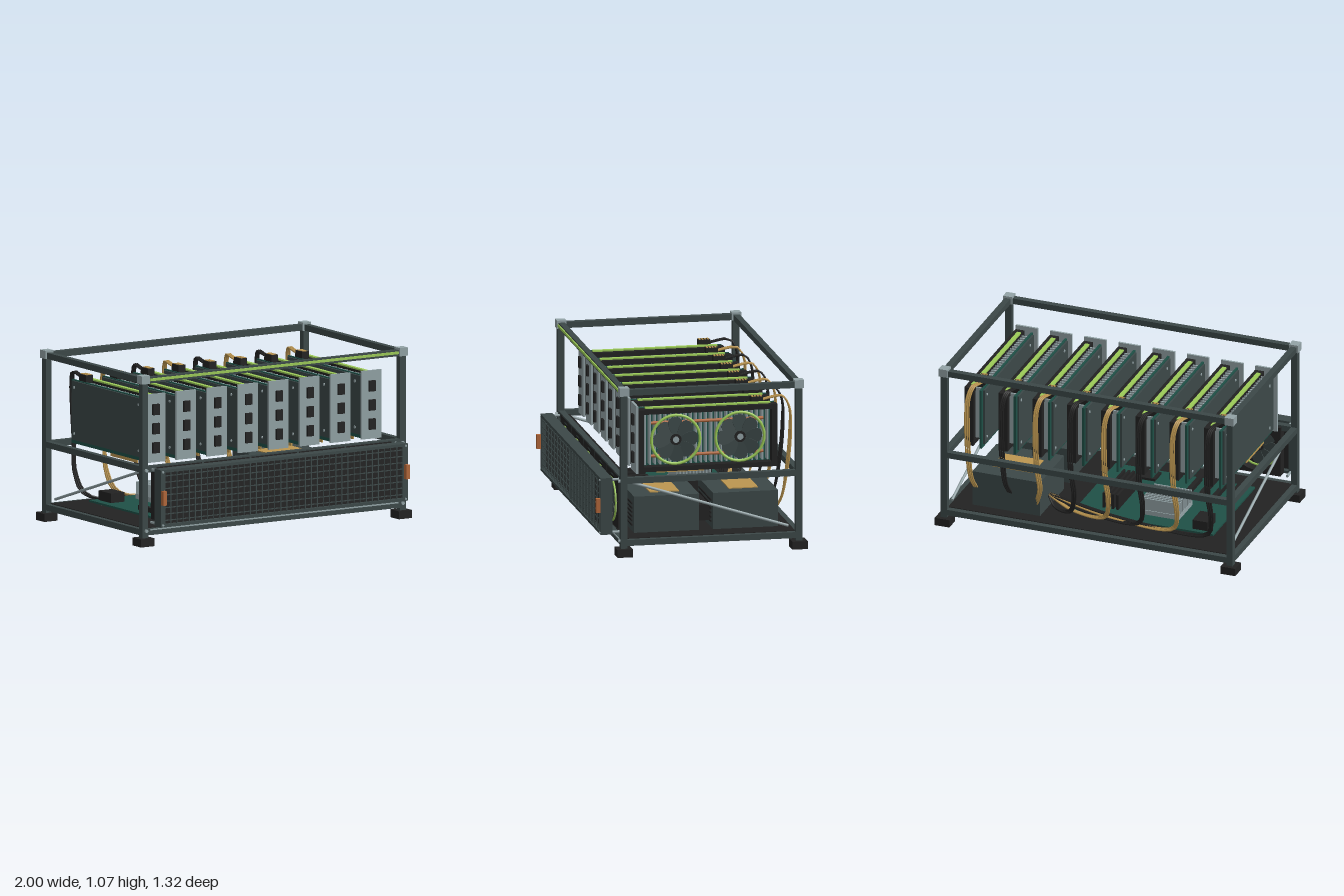
import * as THREE from 'three';

const mat = (name, color) => {
  const m = new THREE.MeshStandardMaterial({ color });
  m.name = name;
  return m;
};

export function createModel() {
  const slate = mat('slate', 0x3c4848), grey = mat('lightGrey', 0x93a3a6), black = mat('black', 0x222222);
  const teal = mat('boardTeal', 0x1f5047), green = mat('limeGreen', 0x9ccb58);
  const copper = mat('copper', 0xb4683a), gold = mat('gold', 0xbc9650);
  const root = new THREE.Group();
  root.name = 'computeRig';

  const group = (name, parent = root) => {
    const g = new THREE.Group();
    g.name = name;
    parent.add(g);
    return g;
  };
  const add = (parent, name, geo, m, x = 0, y = 0, z = 0) => {
    const mesh = new THREE.Mesh(geo, m);
    mesh.name = name;
    mesh.position.set(x, y, z);
    parent.add(mesh);
    return mesh;
  };
  const box = (parent, name, m, w, h, d, x, y, z) => add(parent, name, new THREE.BoxGeometry(w, h, d), m, x, y, z);
  // straight round bar between two points
  const rod = (parent, name, m, r, a, b) => {
    const p = new THREE.Vector3(...a), q = new THREE.Vector3(...b), d = q.clone().sub(p);
    const mesh = add(parent, name, new THREE.CylinderGeometry(r, r, d.length(), 10), m);
    mesh.position.copy(p).add(q).multiplyScalar(0.5);
    mesh.quaternion.setFromUnitVectors(new THREE.Vector3(0, 1, 0), d.normalize());
    return mesh;
  };
  const rectPath = (Type, w, h) => {
    const p = new Type();
    p.moveTo(-w / 2, -h / 2);
    p.lineTo(w / 2, -h / 2);
    p.lineTo(w / 2, h / 2);
    p.lineTo(-w / 2, h / 2);
    p.closePath();
    return p;
  };
  // rectangular frame in the XY plane, centred in depth
  const frameGeo = (w, h, hole, depth) => {
    const s = rectPath(THREE.Shape, w, h);
    s.holes.push(hole);
    return new THREE.ExtrudeGeometry(s, { depth, bevelEnabled: false, curveSegments: 20 }).translate(0, 0, -depth / 2);
  };

  // fan with eight broad blades, facing +z
  const bladeShape = new THREE.Shape();
  bladeShape.moveTo(-0.012, 0.025);
  bladeShape.bezierCurveTo(-0.05, 0.07, -0.07, 0.13, -0.02, 0.14);
  bladeShape.bezierCurveTo(0.03, 0.145, 0.05, 0.12, 0.04, 0.09);
  bladeShape.quadraticCurveTo(0.02, 0.06, 0.012, 0.025);
  const bladeGeo = new THREE.ExtrudeGeometry(bladeShape, { depth: 0.005, bevelEnabled: false, curveSegments: 6 });
  bladeGeo.rotateY(0.12);
  const ringGeo = new THREE.TorusGeometry(0.154, 0.009, 8, 36);
  const hubGeo = new THREE.CylinderGeometry(0.035, 0.035, 0.022, 20).rotateX(Math.PI / 2);
  const capGeo = new THREE.CylinderGeometry(0.02, 0.02, 0.028, 16).rotateX(Math.PI / 2);
  const fan = (parent, name) => {
    const g = group(name, parent);
    add(g, 'fanRing', ringGeo, green);
    add(g, 'fanHub', hubGeo, black);
    add(g, 'fanCap', capGeo, grey);
    for (let i = 0; i < 8; i++) add(g, 'fanBlade', bladeGeo, slate, 0, 0, -0.004).rotation.z = i * Math.PI / 4;
    return g;
  };

  // open frame: posts, rails, feet, corner blocks
  const frame = group('openFrame');
  const ZF = 0.4975, ZB = -0.61, ZM = (ZF + ZB) / 2;
  for (const x of [-0.95, 0.95]) {
    for (const z of [ZF, ZB]) {
      box(frame, 'post', slate, 0.042, 0.99, 0.042, x, 0.545, z);
      box(frame, 'foot', black, 0.098, 0.05, 0.098, x, 0.025, z);
      box(frame, 'cornerBlock', grey, 0.06, 0.052, 0.06, x, 1.046, z);
    }
    for (const y of [0.085, 0.48, 1.04]) box(frame, 'sideRail', slate, 0.038, 0.038, ZF - ZB - 0.04, x, y, ZM);
    rod(frame, 'diagonalBrace', grey, 0.009, [x * 0.974, 0.465, 0.46], [x * 0.974, 0.138, -0.55]);
    for (const y of [0.095, 0.475])
      rod(frame, 'postBolt', grey, 0.011, [x * 0.995, y, 0.515], [x * 0.995, y, 0.53]);
  }
  for (const z of [ZF, ZB])
    for (const y of [0.085, 0.48, 1.04]) box(frame, 'crossRail', slate, 1.86, 0.038, 0.038, 0, y, z);
  box(frame, 'lightStrip', green, 1.83, 0.016, 0.008, 0, 1.043, 0.521);
  box(frame, 'floorTray', black, 1.87, 0.012, 1.07, 0, 0.102, ZM);
  box(frame, 'trayLip', grey, 1.83, 0.008, 0.006, 0, 0.1, 0.518);

  // front grille panel with mesh and handles
  const panel = group('frontPanel');
  const PY = 0.31, PW = 1.82, PH = 0.36;
  add(panel, 'panelFrame', frameGeo(PW, PH, rectPath(THREE.Path, 1.76, 0.325), 0.075), slate, 0, PY, 0.5975);
  box(panel, 'filter', black, 1.77, 0.33, 0.02, 0, PY, 0.6);
  for (let i = 0; i < 40; i++) box(panel, 'meshBarUpright', slate, 0.006, 0.325, 0.006, -0.8775 + i * 0.045, PY, 0.628);
  for (let i = 0; i < 8; i++) box(panel, 'meshBarAcross', slate, 1.76, 0.006, 0.006, 0, PY - 0.14 + i * 0.04, 0.624);
  for (const x of [-0.895, 0.895]) {
    box(panel, 'handle', copper, 0.025, 0.09, 0.028, x, PY + 0.005, 0.648);
    for (const y of [0.143, 0.477]) {
      rod(panel, 'panelScrew', grey, 0.007, [x, y, 0.63], [x, y, 0.64]);
      rod(panel, 'panelStandoff', grey, 0.009, [x, y, 0.5], [x, y, 0.565]);
    }
  }

  // intake fans behind the panel
  const roundHole = new THREE.Path().absarc(0, 0, 0.15, 0, Math.PI * 2, true);
  const intakeGeo = frameGeo(0.335, 0.335, roundHole, 0.06);
  for (let i = 0; i < 5; i++) {
    const x = (i - 2) * 0.35;
    add(root, 'intakeFrame', intakeGeo, black, x, 0.322, 0.487);
    const f = fan(root, 'intakeFan');
    f.position.set(x, 0.31, 0.523);
    f.scale.set(0.87, 0.87, 0.7);
  }

  // main board with heat sink, memory and chips
  const board = group('mainBoard');
  box(board, 'circuitBoard', teal, 0.93, 0.012, 0.72, -0.295, 0.131, -0.06);
  for (const x of [-0.7, 0.1]) for (const z of [-0.36, 0.25])
    box(board, 'standoff', grey, 0.02, 0.02, 0.02, x, 0.117, z);
  box(board, 'heatSinkBase', grey, 0.25, 0.03, 0.23, -0.365, 0.152, -0.195);
  for (let i = 0; i < 11; i++) box(board, 'heatSinkFin', grey, 0.25, 0.09, 0.009, -0.365, 0.2, -0.3 + i * 0.021);
  for (let i = 0; i < 4; i++) {
    box(board, 'memoryStick', black, 0.014, 0.1, 0.36, -0.08 + i * 0.03, 0.187, -0.13);
    box(board, 'slot', black, 0.03, 0.03, 0.22, -0.68 + i * 0.09, 0.152, 0.15);
  }
  box(board, 'portBlock', black, 0.1, 0.06, 0.14, -0.66, 0.167, -0.32);
  box(board, 'chip', black, 0.11, 0.015, 0.11, -0.1, 0.145, 0.2);

  // two power supplies with gold labels
  const XP = 0.58;
  for (const [z, label] of [[0.195, 0.19], [-0.305, -0.31]]) {
    const psu = group('powerSupply');
    box(psu, 'powerCase', slate, 0.45, 0.23, 0.412, XP, 0.224, z);
    box(psu, 'powerLabel', gold, 0.27, 0.006, 0.185, XP, 0.342, label);
    for (let i = 0; i < 6; i++) box(psu, 'ventSlot', black, 0.36, 0.012, 0.008, XP, 0.15 + i * 0.027, z + 0.208);
  }
  box(root, 'powerLink', black, 0.3, 0.1, 0.09, XP, 0.2, -0.055);

  // graphics cards, fans towards +x
  const shroudGeo = frameGeo(0.88, 0.395, rectPath(THREE.Path, 0.81, 0.335), 0.06).rotateY(Math.PI / 2);
  const finGeo = new THREE.BoxGeometry(0.062, 0.345, 0.01);
  for (let i = 0; i < 8; i++) {
    const card = group('graphicsCard');
    const cx = (i - 3.5) * 0.2275 - 0.004;
    card.position.x = cx;
    box(card, 'cardBoard', teal, 0.014, 0.4, 0.88, -0.035, 0.695, -0.055);
    box(card, 'backPlate', slate, 0.012, 0.37, 0.84, -0.05, 0.705, -0.055);
    for (const y of [0.56, 0.85]) for (const z of [-0.44, 0.3])
      rod(card, 'plateScrew', grey, 0.009, [-0.05, y, z], [-0.06, y, z]);
    box(card, 'edgeContacts', gold, 0.008, 0.022, 0.3, -0.035, 0.486, 0.1);
    for (let k = 0; k < 25; k++) add(card, 'coolingFin', finGeo, grey, 0.004, 0.715, 0.335 - k * 0.0323);
    for (const y of [0.6, 0.81]) rod(card, 'heatPipe', copper, 0.01, [0.04, y, 0.3], [0.04, y, -0.41]);
    add(card, 'shroud', shroudGeo, black, 0.043, 0.703, -0.055);
    box(card, 'lightBar', green, 0.027, 0.01, 0.79, 0.03, 0.905, -0.06);
    for (const z of [0.15, -0.257]) {
      const f = fan(card, 'cardFan');
      f.position.set(0.072, 0.706, z);
      f.rotation.y = Math.PI / 2;
    }
    box(card, 'bracket', grey, 0.146, 0.43, 0.014, 0, 0.712, 0.394);
    for (const y of [0.59, 0.71, 0.83]) box(card, 'port', black, 0.046, 0.068, 0.016, 0, y, 0.408);
    box(card, 'powerSocket', black, 0.05, 0.06, 0.075, -0.008, 0.908, -0.378);
    for (let k = 0; k < 4; k++) box(card, 'socketPin', gold, 0.036, 0.006, 0.009, -0.008, 0.939, -0.35 - k * 0.018);

    // power lead looping behind the card down to a supply
    const lead = group('powerLead');
    const start = cx - 0.01, near = i > 5;
    for (let s = -1; s <= 1; s++) {
      const o = s * 0.011, x = start + o;
      const pts = [[x, 0.915, -0.41], [x, 0.93, -0.48], [x + 0.01, 0.935, -0.54], [x + 0.025, 0.87, -0.58],
        [x + 0.03, 0.7, -0.585 - o * 0.4], [x + 0.03, 0.48, -0.565 - o * 0.4], [x + 0.02, 0.3, -0.535]];
      if (near) pts.push([x, 0.23, -0.505]);
      else pts.push([x + 0.07, 0.16, -0.48 + o], [(x + 0.36) / 2 + 0.06, 0.14, -0.42 + o], [0.36, 0.19, -0.35 + o]);
      const curve = new THREE.CatmullRomCurve3(pts.map(p => new THREE.Vector3(...p)));
      add(lead, 'leadStrand', new THREE.TubeGeometry(curve, 40, 0.006, 6), i % 2 ? gold : black);
    }
  }
  return root;
}
